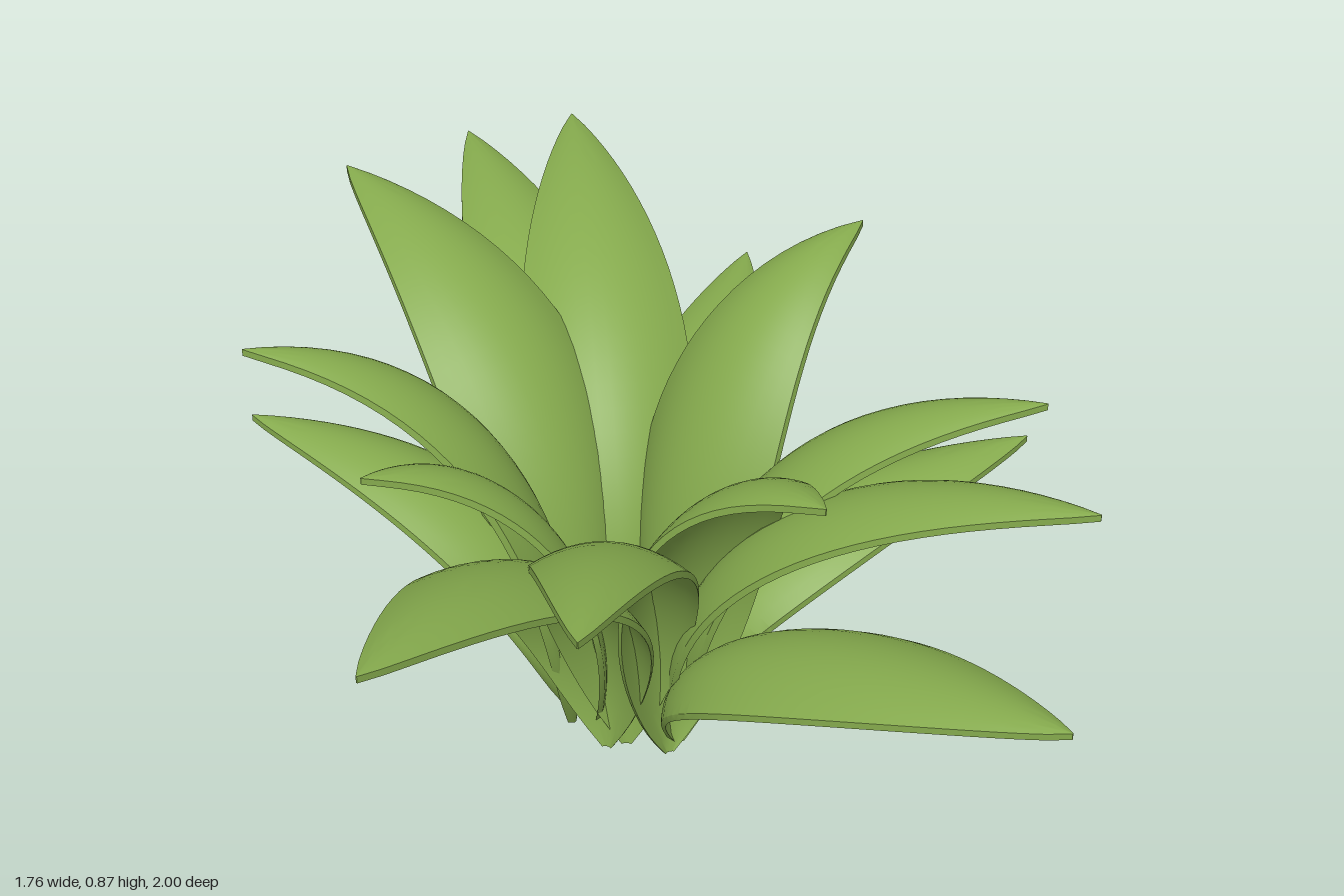
import * as THREE from 'three';
import { toCreasedNormals } from 'three/addons/utils/BufferGeometryUtils.js';

const CENTRE = new THREE.Vector3(-0.065, 0, 0.04);
const ROWS = 30, COLS = 12, THICK = 0.012;

// Arched lens-shaped blade: closed cross-sections swept from foot to tip
function leafGeometry(tip, width, footRadius) {
  const out = new THREE.Vector3(tip.x - CENTRE.x, 0, tip.z - CENTRE.z);
  const reach = out.length();
  out.normalize();
  const at = (r, y) => CENTRE.clone().addScaledVector(out, r).setY(y);
  // Rises almost straight, then bends over to a level tip
  const spine = new THREE.CubicBezierCurve3(
    at(footRadius, 0),
    at(footRadius - 0.05, tip.y * 0.5),
    at(0.11 + 0.24 * (reach - 0.11), tip.y * 0.99),
    at(reach, tip.y - 0.005));
  const side = new THREE.Vector3(0, 1, 0).cross(out).normalize();
  const ring = 2 * (COLS + 1);
  const pos = [], index = [];
  for (let i = 0; i <= ROWS; i++) {
    const s = i / ROWS;
    const p = spine.getPointAt(s);
    const normal = spine.getTangentAt(s).cross(side).normalize();
    const lens = Math.pow(Math.max(Math.sin(Math.PI * Math.pow(s, 0.86)), 0), 0.84);
    const half = Math.max(0.5 * width * lens, 0.008 * (1 - s) + 0.001);
    const curl = 0.3 + 0.25 * (1 - s) * (1 - s); // folds more tightly near the foot
    for (let k = 0; k < ring; k++) {
      const top = k <= COLS;
      const u = (top ? k : ring - 1 - k) / COLS * 2 - 1;
      const lift = -curl * half * u * u + (top ? 0.5 : -0.5) * THICK;
      const v = p.clone().addScaledVector(side, u * half).addScaledVector(normal, lift);
      pos.push(v.x, Math.max(v.y, 0), v.z);
    }
  }
  for (let i = 0; i < ROWS; i++) {
    for (let k = 0; k < ring; k++) {
      const a = i * ring + k, b = i * ring + (k + 1) % ring;
      index.push(a, b, b + ring, a, b + ring, a + ring);
    }
  }
  // Close the foot and the tip
  const last = ROWS * ring;
  for (let k = 0; k < COLS; k++) {
    const m = ring - 1 - k;
    index.push(k, m, k + 1, k + 1, m, m - 1);
    index.push(last + k, last + k + 1, last + m, last + k + 1, last + m - 1, last + m);
  }
  const g = new THREE.BufferGeometry();
  g.setAttribute('position', new THREE.Float32BufferAttribute(pos, 3));
  g.setIndex(index);
  return toCreasedNormals(g, 0.9);
}

export function createModel() {
  const group = new THREE.Group();
  group.name = 'rosettePlant';
  const leafGreen = new THREE.MeshStandardMaterial({ color: 0x85aa4d, side: THREE.DoubleSide });
  leafGreen.name = 'leafGreen';

  // Each leaf: tip x, y, z, blade width, distance of the foot from the centre
  const leaves = [
    [-0.35, 0.50, -1.00, 0.28, 0.11],
    [-0.67, 0.83, -0.80, 0.33, 0.11],
    [-0.88, 0.78, -0.72, 0.31, 0.11],
    [-0.88, 0.86, -0.28, 0.34, 0.11],
    [-0.81, 0.53, 0.17, 0.27, 0.12],
    [-0.62, 0.82, 0.41, 0.27, 0.11],
    [-0.32, 0.69, 0.50, 0.25, 0.08],
    [0.02, 0.70, 1.00, 0.32, 0.10],
    [0.29, 0.74, 0.82, 0.29, 0.08],
    [0.46, 0.76, 0.33, 0.30, 0.13],
    [0.88, 0.43, 0.27, 0.34, 0.12],
    [0.82, 0.70, 0.04, 0.29, 0.10],
    [0.63, 0.74, -0.21, 0.28, 0.10],
    [0.46, 0.44, -0.61, 0.28, 0.11],
    [0.14, 0.87, -0.50, 0.33, 0.08],
  ];
  leaves.forEach(([x, y, z, width, foot], i) => {
    const leaf = new THREE.Mesh(leafGeometry(new THREE.Vector3(x, y, z), width, foot), leafGreen);
    leaf.name = `leaf${i + 1}`;
    group.add(leaf);
  });
  return group;
}
